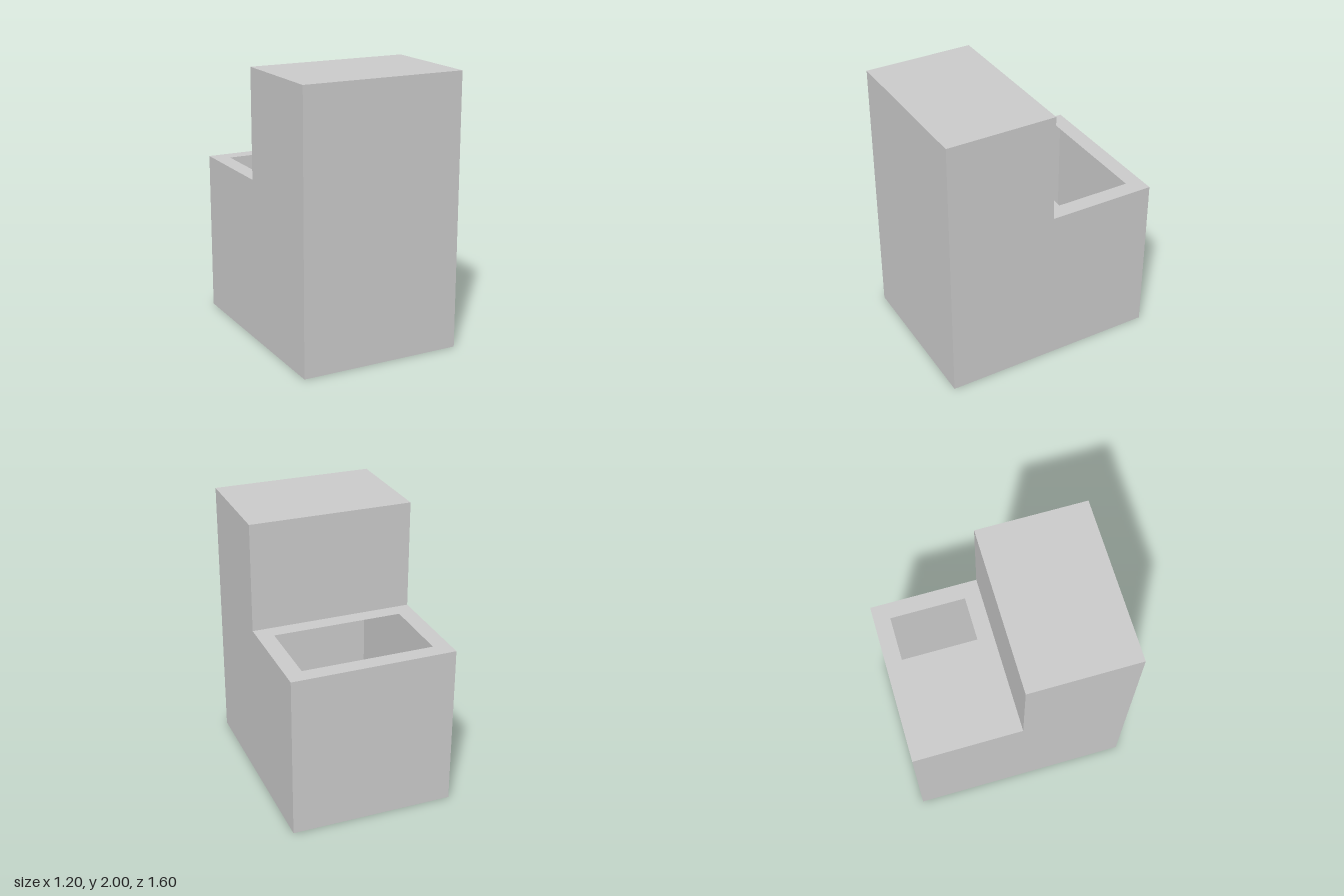
import * as THREE from 'three';

const W = 1.2, D = 1.6, H = 2, STEP = 1.2; // overall size and height of the rear deck

export function createModel() {
  const group = new THREE.Group();
  const material = new THREE.MeshStandardMaterial({ color: 0xcccccc, side: THREE.DoubleSide });

  const add = (name, geometry, x, y, z) => {
    const mesh = new THREE.Mesh(geometry, material);
    mesh.name = name;
    mesh.position.set(x, y, z);
    group.add(mesh);
  };
  const upright = (h) => new THREE.PlaneGeometry(W, h);
  const level = (d) => new THREE.PlaneGeometry(W, d).rotateX(-Math.PI / 2);

  // Hollow thin-walled body: front, back, riser, top and floor panels
  add('frontPanel', upright(H), 0, H / 2, D / 2);
  add('backPanel', upright(STEP).rotateY(Math.PI), 0, STEP / 2, -D / 2);
  add('riserPanel', upright(H - STEP).rotateY(Math.PI), 0, (H + STEP) / 2, 0);
  add('topPanel', level(D / 2), 0, H, D / 4);
  add('floorPanel', level(D).rotateX(Math.PI), 0, 0, 0);

  // Stepped side panels, mirrored
  for (const s of [-1, 1]) {
    const profile = [[-D / 2, 0], [D / 2, 0], [D / 2, H], [0, H], [0, STEP], [-D / 2, STEP]];
    const shape = new THREE.Shape(profile.map(([z, y]) => new THREE.Vector2(-s * z, y)));
    const side = new THREE.ShapeGeometry(shape).rotateY(s * Math.PI / 2);
    add(s > 0 ? 'leftSidePanel' : 'rightSidePanel', side, s * W / 2, 0, 0);
  }

  // Rear deck with a rectangular opening into the hollow body
  const rect = (Type, x, y0, y1) => new Type([[-x, y0], [x, y0], [x, y1], [-x, y1]]
    .map(([px, py]) => new THREE.Vector2(px, py)));
  const deck = rect(THREE.Shape, W / 2, 0, D / 2);
  deck.holes.push(rect(THREE.Path, 0.48, 0.12, 0.68));
  add('rearDeck', new THREE.ShapeGeometry(deck).rotateX(-Math.PI / 2), 0, STEP, 0);

  return group;
}
